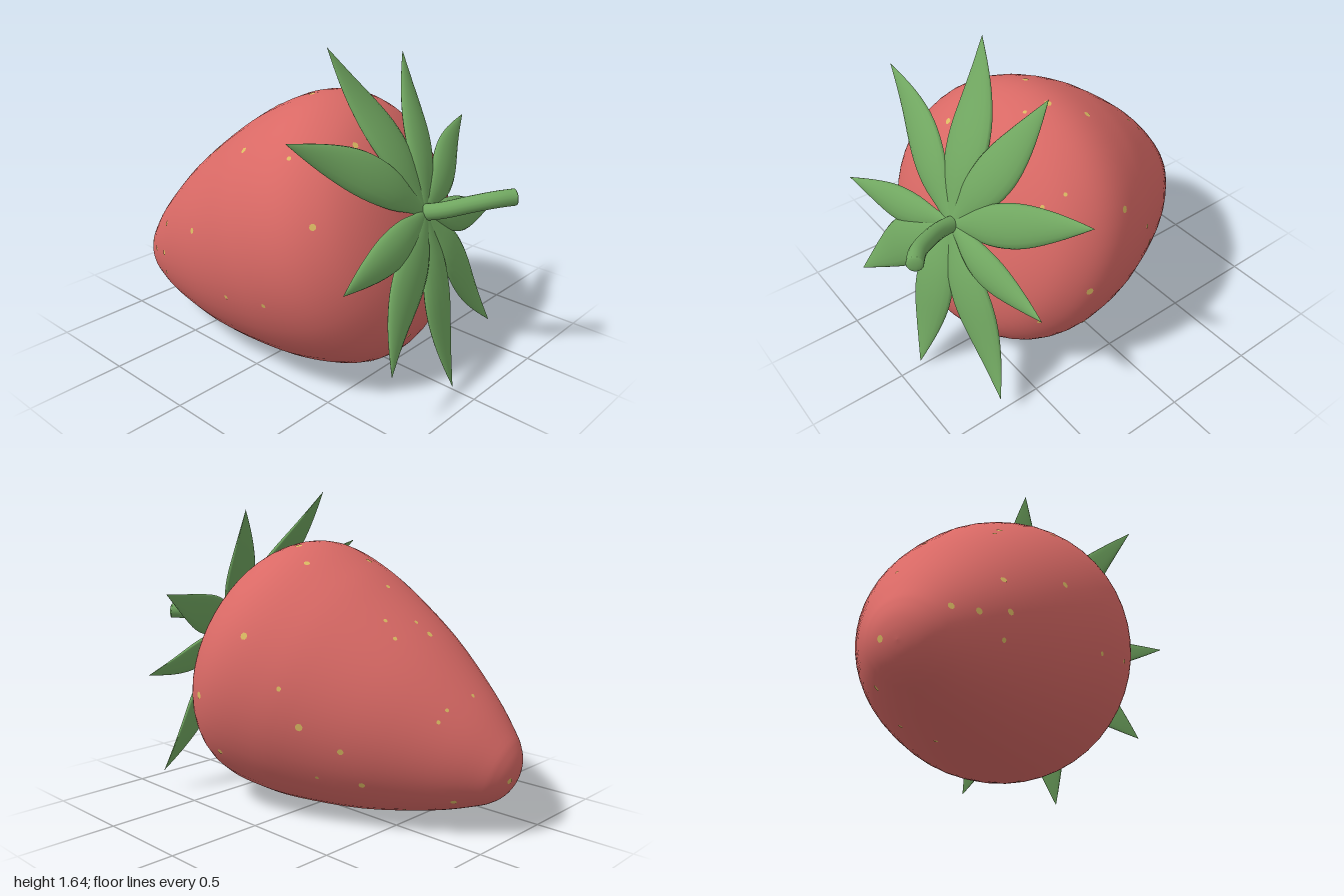
import * as THREE from 'three';

const V = (x, y, z) => new THREE.Vector3(x, y, z);
const UP = V(0, 1, 0);
const FRONT = V(0, 0, 1);
const TIP = V(-0.308, 0.272, -0.988);           // pointed end of the fruit
const AXIS = V(0.195, 0.33, 0.924).normalize(); // from the point to the stem
const CROWN = V(0.03, 0.86, 0.64);              // where the leaves meet

const red = new THREE.MeshStandardMaterial({ name: 'fruitRed', color: 0xd96965 });
const green = new THREE.MeshStandardMaterial({ name: 'leafGreen', color: 0x70a660 });
const gold = new THREE.MeshStandardMaterial({ name: 'seedGold', color: 0xdab962 });

function makeFruit() {
  const outline = [[0, 0], [0.006, 0.05], [0.025, 0.105], [0.06, 0.155], [0.115, 0.205],
    [0.295, 0.33], [0.61, 0.499], [0.95, 0.626], [1.15, 0.675], [1.32, 0.692], [1.45, 0.668],
    [1.56, 0.6], [1.64, 0.505], [1.7, 0.37], [1.735, 0.2], [1.745, 0]]
    .map(([s, r]) => new THREE.Vector2(r, s));
  const points = new THREE.SplineCurve(outline).getPoints(60);
  points.forEach(p => { p.x = Math.max(p.x, 0); });
  const geo = new THREE.LatheGeometry(points, 48);
  geo.applyQuaternion(new THREE.Quaternion().setFromUnitVectors(UP, AXIS));
  geo.translate(TIP.x, TIP.y, TIP.z);
  const mesh = new THREE.Mesh(geo, red);
  mesh.name = 'fruit';
  return mesh;
}

// Closed lens-shaped leaf swept from the crown to its tip, bent sideways a little
function makeLeaf(tip, halfWidth, bend, wave) {
  const u = tip.clone().sub(CROWN);
  const length = u.length();
  u.normalize();
  const n = AXIS.clone().addScaledVector(u, -AXIS.dot(u)).normalize();
  const w = n.clone().cross(u);
  const widths = new THREE.SplineCurve([[0, 0.25], [0.12, 0.48], [0.27, 0.86], [0.42, 1],
    [0.56, 0.93], [0.72, 0.66], [0.88, 0.3], [1, 0]].map(p => new THREE.Vector2(...p)));
  const rows = 20, sides = 16, pos = [], idx = [];
  for (let i = 0; i <= rows; i++) {
    const { x: t, y } = widths.getPoint(i / rows);
    const k = Math.max(y, 0.001);
    const arch = Math.sin(t * Math.PI);
    const lift = wave * Math.sin(t * Math.PI * 2) + 0.008 * arch;
    for (let j = 0; j < sides; j++) {
      const a = (j / sides) * Math.PI * 2, c = Math.cos(a), s = Math.sin(a);
      const h = k * (s > 0 ? 0.034 : 0.022) * s - 0.008 * k * c * c + lift;
      const p = CROWN.clone().addScaledVector(u, t * length)
        .addScaledVector(w, c * k * halfWidth + bend * arch).addScaledVector(n, h);
      pos.push(p.x, p.y, p.z);
    }
  }
  for (let i = 0; i < rows; i++) for (let j = 0; j < sides; j++) {
    const a = i * sides + j, b = i * sides + (j + 1) % sides;
    idx.push(a, b, a + sides, b, b + sides, a + sides);
  }
  const geo = new THREE.BufferGeometry();
  geo.setAttribute('position', new THREE.Float32BufferAttribute(pos, 3));
  geo.setIndex(idx);
  geo.computeVertexNormals();
  const mesh = new THREE.Mesh(geo, green);
  mesh.name = 'leaf';
  return mesh;
}

function makeStem() {
  const stem = new THREE.Group();
  stem.name = 'stem';
  const curve = new THREE.CatmullRomCurve3([V(0.02, 0.85, 0.6), V(0.06, 0.885, 0.72),
    V(0.13, 0.925, 0.83), V(0.2, 0.953, 0.92), V(0.268, 0.96, 0.974)]);
  const tube = new THREE.Mesh(new THREE.TubeGeometry(curve, 20, 0.041, 14), green);
  tube.name = 'stemStalk';
  const cap = new THREE.Mesh(new THREE.SphereGeometry(0.041, 14, 8), green);
  cap.name = 'stemEnd';
  cap.scale.z = 0.3;
  cap.position.copy(curve.getPoint(1));
  cap.quaternion.setFromUnitVectors(FRONT, curve.getTangent(1));
  stem.add(tube, cap);
  return stem;
}

// Thin seeds dropped onto the skin from each side
function makeSeeds(fruit) {
  const seeds = new THREE.Group();
  seeds.name = 'seeds';
  const disc = new THREE.CircleGeometry(1, 8);
  const drop = (dir, place, spots) => spots.forEach(([a, b, r = 0.016]) => {
    const hit = new THREE.Raycaster(place(a, b), dir).intersectObject(fruit)[0];
    if (!hit) return;
    const seed = new THREE.Mesh(disc, gold);
    seed.name = 'seed';
    seed.position.copy(hit.point).addScaledVector(hit.face.normal, 0.002);
    seed.quaternion.setFromUnitVectors(FRONT, hit.face.normal);
    seed.scale.set(r, r, 1);
    seeds.add(seed);
  });
  drop(V(0, 0, -1), (x, y) => V(x, y, 3),
    [[-0.26, 1.22], [-0.6, 0.94], [-0.13, 0.28, 0.012], [-0.23, 0.12, 0.012], [0.27, 0.31, 0.019]]);
  drop(V(-1, 0, 0), (z, y) => V(3, y, z),
    [[0.27, 1.11, 0.01], [0.37, 1.06, 0.011], [0, 0.96, 0.018], [0.265, 0.64, 0.019],
      [0.47, 0.46, 0.01], [0.22, 0.34], [-0.2, 0.73, 0.012], [-0.28, 0.55, 0.019],
      [-0.44, 0.44], [-0.48, 0.26], [-0.29, 0.28, 0.01], [-0.8, 0.18], [-0.78, 0.59, 0.01]]);
  drop(V(0, -1, 0), (x, z) => V(x, 3, z),
    [[-0.16, -0.82, 0.01], [0, -0.79, 0.01], [-0.13, -0.58], [-0.1, -0.52, 0.011],
      [0.07, -0.53, 0.011], [0.06, -0.46, 0.011], [-0.41, -0.41, 0.011], [-0.4, -0.35],
      [-0.11, -0.33, 0.012], [-0.18, -0.14, 0.019], [-0.52, -0.02], [0.19, -0.06],
      [-0.14, 0.06, 0.017], [0.09, 0.1, 0.019], [0.07, 0.22, 0.01], [-0.53, 0.29, 0.011]]);
  drop(V(1, 0, 0), (z, y) => V(-3, y, z),
    [[0.3, 0.53, 0.012], [-0.24, 0.73], [0.04, 0.48, 0.012], [-0.6, 0.63], [-0.6, 0.47],
      [-0.62, 0.34, 0.012], [-0.75, 0.43], [-0.86, 0.425]]);
  drop(V(0, 0, 1), (x, y) => V(x, y, -3), [[-0.23, 0.29]]);
  drop(V(0, 1, 0), (x, z) => V(x, -3, z),
    [[-0.1, 0.3, 0.012], [0.2, -0.06], [0, -0.55, 0.012], [-0.12, -0.45, 0.01]]);
  return seeds;
}

export function createModel() {
  const model = new THREE.Group();
  model.name = 'strawberry';
  const fruit = makeFruit();
  fruit.updateMatrixWorld(true);
  model.add(fruit, makeSeeds(fruit), makeStem());

  // Leaf tips around the crown, with half width and sideways bend
  const leaves = new THREE.Group();
  leaves.name = 'leaves';
  [[-0.23, 1.635, 0.24, 0.13, -0.025], [0.305, 1.545, 0.26, 0.115, -0.02],
    [0.738, 1.145, 0.35, 0.108, 0], [0.69, 0.7, 0.6, 0.09, -0.025],
    [0.525, 0.115, 0.735, 0.122, 0], [-0.01, 0.015, 0.88, 0.125, -0.02],
    [-0.525, 0.32, 0.9, 0.125, -0.028], [-0.738, 0.765, 0.8, 0.092, 0.015],
    [-0.738, 1.345, 0.48, 0.115, -0.035],
  ].forEach(([x, y, z, w, bend], i) => leaves.add(makeLeaf(V(x, y, z), w, bend, i % 2 ? 0.008 : 0.013)));
  model.add(leaves);
  return model;
}
